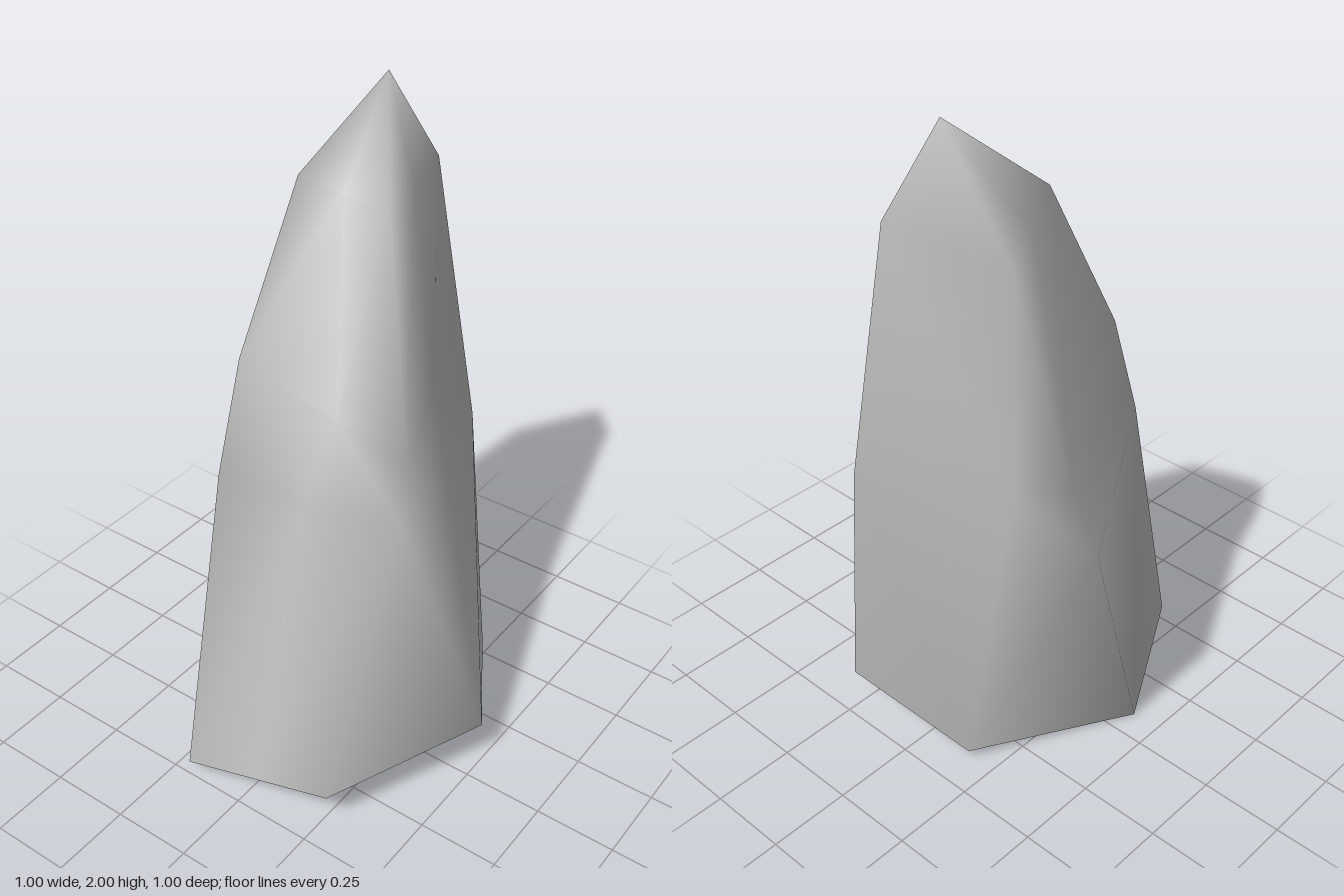
import * as THREE from 'three';

// Cross-sections of the rock spike, counterclockwise seen from above: [x, y, z]
const rings = [
  // open, tilted foot
  [[-0.5, 0.05, -0.19], [-0.465, 0.09, 0.045], [-0.43, 0.13, 0.28], [0.07, 0.155, 0.5],
    [0.45, 0.11, 0.27], [0.4, 0.035, -0.17], [-0.085, 0, -0.41]],
  // ledge rim
  [[-0.25, 0.97, -0.23], [-0.215, 0.985, 0.05], [-0.17, 1.0, 0.34], [0.2, 0.96, 0.24],
    [0.5, 0.93, 0.15], [0.372, 0.85, -0.295], [0.23, 0.84, -0.5]],
  // inside of the ledges
  [[-0.14, 1.3, -0.23], [-0.11, 1.2, 0.08], [-0.055, 1.105, 0.28], [0.2, 1.2, 0.19],
    [0.495, 1.2, 0.1], [0.362, 1.02, -0.32], [0.21, 1.0, -0.39]],
  // shoulder below the tip
  [[0.1, 1.77, -0.2], [0.115, 1.745, -0.06], [0.135, 1.715, 0.075], [0.3, 1.735, 0.04],
    [0.485, 1.74, 0], [0.345, 1.65, -0.305], [0.22, 1.71, -0.25]],
];
const tip = [0.375, 2, -0.1];

// Columns in each band whose facets fold along the falling diagonal
const falling = [[2, 4], [0, 1, 2, 3, 4, 5, 6], [4, 5]];

// Join the rings with triangles and close the top at the tip
function loft(sections, apex) {
  const n = sections[0].length;
  const last = sections.length - 1;
  const index = [];
  for (let r = 0; r <= last; r++) {
    for (let j = 0; j < n; j++) {
      const a = r * n + j, b = r * n + (j + 1) % n;
      const c = b + n, d = a + n;
      if (r === last) index.push(a, b, n * sections.length);
      else if (falling[r].includes(j)) index.push(a, b, d, b, c, d);
      else index.push(a, b, c, a, c, d);
    }
  }
  const geometry = new THREE.BufferGeometry();
  geometry.setAttribute('position', new THREE.Float32BufferAttribute([...sections.flat(2), ...apex], 3));
  geometry.setIndex(index);
  geometry.computeVertexNormals();
  return geometry;
}

export function createModel() {
  const stone = new THREE.MeshStandardMaterial({ color: 0xbcbcbc, side: THREE.DoubleSide });
  stone.name = 'grey stone';

  const group = new THREE.Group();
  group.name = 'rock';
  const spike = new THREE.Mesh(loft(rings, tip), stone);
  spike.name = 'rockSpike';
  group.add(spike);
  return group;
}
